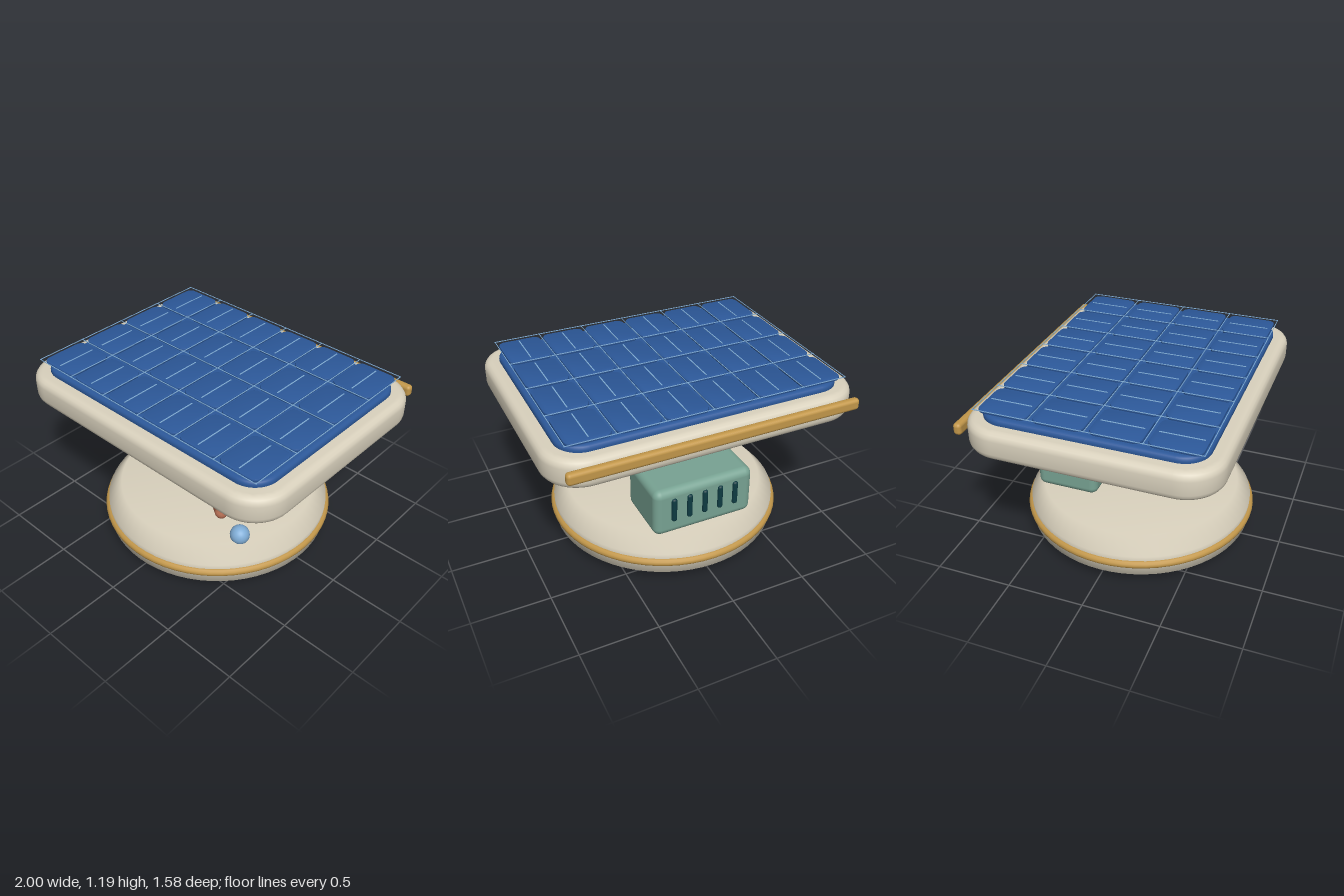
import * as THREE from 'three';
import { toCreasedNormals } from 'three/addons/utils/BufferGeometryUtils.js';
import { RoundedBoxGeometry } from 'three/addons/geometries/RoundedBoxGeometry.js';

const material = (name, color) => {
  const m = new THREE.MeshStandardMaterial({ color });
  m.name = name;
  return m;
};

// Flat rounded slab lying in the xz plane, from y0 to y1, with bevelled rims
function slabGeometry(w, d, y0, y1, corner, bevel, segments = 4) {
  const x = w / 2 - bevel, z = d / 2 - bevel, r = corner - bevel;
  const s = new THREE.Shape();
  s.moveTo(-x + r, -z);
  s.lineTo(x - r, -z);
  s.absarc(x - r, -z + r, r, -Math.PI / 2, 0);
  s.lineTo(x, z - r);
  s.absarc(x - r, z - r, r, 0, Math.PI / 2);
  s.lineTo(-x + r, z);
  s.absarc(-x + r, z - r, r, Math.PI / 2, Math.PI);
  s.lineTo(-x, -z + r);
  s.absarc(-x + r, -z + r, r, Math.PI, Math.PI * 1.5);
  const g = new THREE.ExtrudeGeometry(s, {
    depth: y1 - y0 - 2 * bevel, bevelEnabled: true, bevelSize: bevel,
    bevelThickness: bevel, bevelSegments: segments, curveSegments: 6,
  });
  g.rotateX(-Math.PI / 2).translate(0, y0 + bevel, 0);
  return toCreasedNormals(g, 0.7);
}

export function createModel() {
  const cream = material('cream shell', 0xd9d1bd);
  const amber = material('amber metal', 0xc2974a);
  const teal = material('dark teal', 0x0e3b42);
  const blue = material('cell blue', 0x2c5899);
  const green = material('sage green', 0x78a393);
  const copper = material('copper', 0xb87055);
  const sky = material('light blue', 0x80add6);

  const model = new THREE.Group();
  const add = (name, geometry, mat, x = 0, y = 0, z = 0, parent = model) => {
    const mesh = new THREE.Mesh(geometry, mat);
    mesh.name = name;
    mesh.position.set(x, y, z);
    parent.add(mesh);
    return mesh;
  };
  const group = (name) => {
    const g = new THREE.Group();
    g.name = name;
    model.add(g);
    return g;
  };
  const cz = 0.015;

  // Round base, rim ring and column
  const profile = [[0, 0], [0.63, 0], [0.748, 0.08], [0.748, 0.22], [0.655, 0.32], [0, 0.32]]
    .map(([r, y]) => new THREE.Vector2(r, y));
  add('base', new THREE.LatheGeometry(profile, 64), cream, 0, 0, cz);
  add('baseRing', new THREE.TorusGeometry(0.745, 0.027, 12, 64).rotateX(Math.PI / 2), amber, 0, 0.162, cz);
  add('column', new THREE.CylinderGeometry(0.148, 0.148, 0.54, 40), amber, 0, 0.57, cz);

  // Hub and tray
  add('hub', new RoundedBoxGeometry(0.675, 0.13, 0.89, 4, 0.035), teal, 0, 0.89, cz);
  add('tray', slabGeometry(2, 1.545, 0.93, 1.115, 0.24, 0.05), cream, 0, 0, cz);
  add('panelDeck', slabGeometry(1.81, 1.36, 1.09, 1.152, 0.16, 0.025), blue, 0, 0, 0.012);
  add('rearBar', new RoundedBoxGeometry(1.86, 0.075, 0.052, 4, 0.022), amber, -0.005, 1.048, -0.768);

  // Grid of solar cells with a thin conductor on each
  const cells = group('solarCells');
  const cellGeometry = slabGeometry(0.275, 0.31, 1.162, 1.183, 0.045, 0.006, 2);
  const stripGeometry = new THREE.BoxGeometry(0.007, 0.003, 0.26);
  const pitchX = 0.297, pitchZ = 0.34;
  for (let i = 0; i < 6; i++) {
    for (let j = 0; j < 4; j++) {
      const x = (i - 2.5) * pitchX - 0.003, z = (j - 1.5) * pitchZ + 0.01;
      add('solarCell', cellGeometry, blue, x, 0, z, cells);
      add('cellConductor', stripGeometry, sky, x, 1.184, z, cells);
    }
  }

  // Fine wires in the gaps between cells
  const wires = group('gridWires');
  for (let i = 0; i <= 6; i++)
    add('longWire', new THREE.BoxGeometry(0.004, 0.004, 1.36), sky, (i - 3) * pitchX - 0.003, 1.186, 0.01, wires);
  for (let j = 0; j <= 4; j++)
    add('crossWire', new THREE.BoxGeometry(1.79, 0.004, 0.004), sky, -0.003, 1.186, (j - 2) * pitchZ + 0.01, wires);

  // Equipment box with vent slots on its back
  add('equipmentBox', new RoundedBoxGeometry(0.675, 0.33, 0.42, 5, 0.05), green, 0, 0.472, -0.39);
  const slot = new RoundedBoxGeometry(0.036, 0.168, 0.036, 3, 0.016);
  for (let i = -2; i <= 2; i++) add('ventSlot', slot, teal, i * 0.105, 0.492, -0.598);

  // Bent pipe from hub to base
  const pipe = group('pipe');
  const path = [[0.2, 0.825, -0.01], [0.38, 0.66, 0.27], [0.35, 0.435, 0.36], [0.245, 0.355, 0.265]]
    .map((p) => new THREE.Vector3(...p));
  const radius = 0.042;
  path.forEach((p, i) => {
    add('pipeJoint', new THREE.SphereGeometry(radius, 16, 12), copper, p.x, p.y, p.z, pipe);
    if (i === 0) return;
    const dir = p.clone().sub(path[i - 1]);
    const mid = p.clone().add(path[i - 1]).multiplyScalar(0.5);
    const part = add('pipeSection', new THREE.CylinderGeometry(radius, radius, dir.length(), 16), copper, mid.x, mid.y, mid.z, pipe);
    part.quaternion.setFromUnitVectors(new THREE.Vector3(0, 1, 0), dir.normalize());
  });

  // Signal ball on the base
  add('signalBall', new THREE.SphereGeometry(0.063, 28, 18), sky, 0.507, 0.343, 0.36);

  return model;
}
